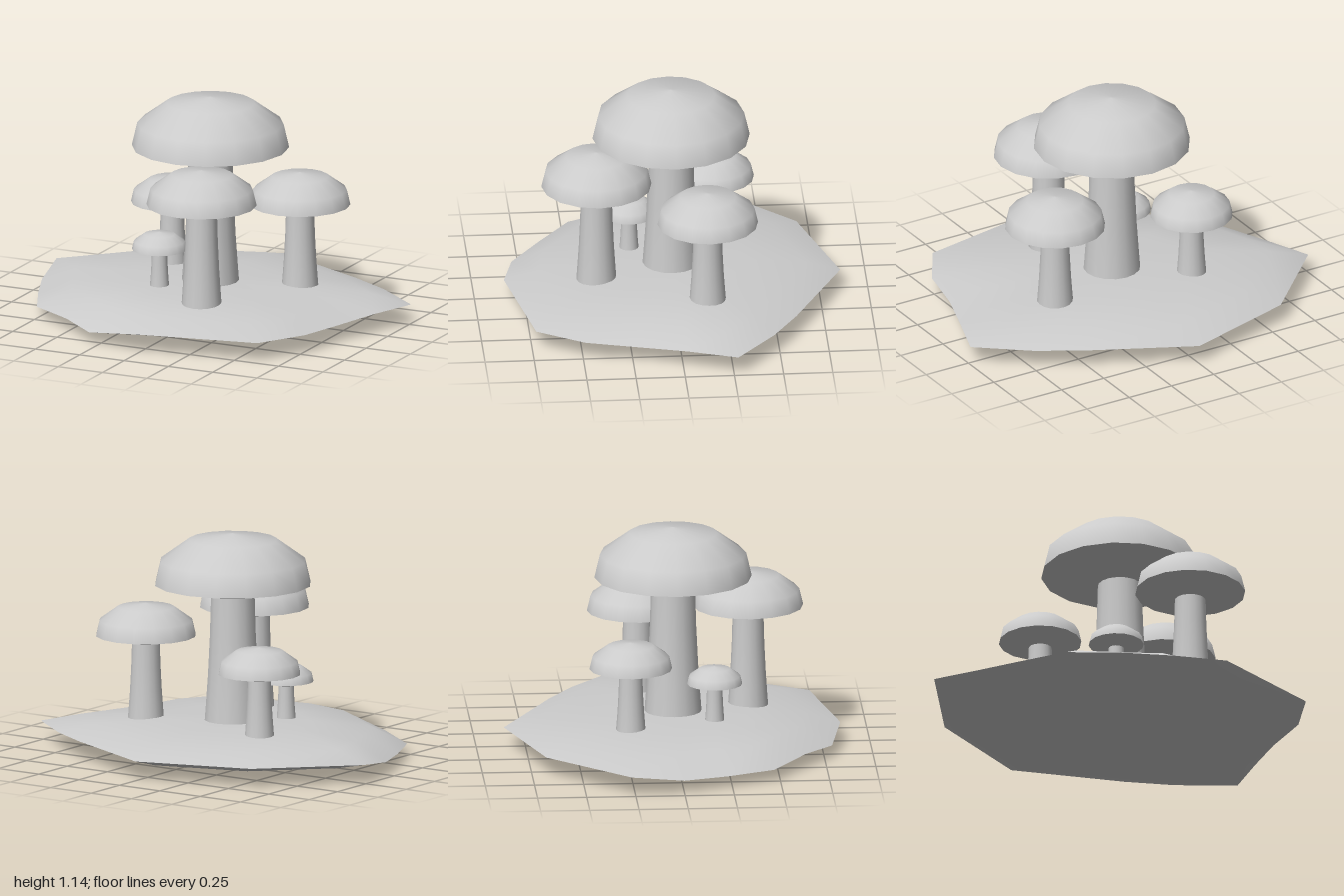
import * as THREE from 'three';
import { toCreasedNormals } from 'three/addons/utils/BufferGeometryUtils.js';

const clay = new THREE.MeshStandardMaterial({ color: 0xcccccc });
clay.name = 'light grey';

// Ground rim, counter-clockwise from above: [x, z, y]
const RIM = [
  [0, -0.86, 0.1], [-0.59, -0.68, 0.1], [-1, -0.27, 0.1], [-0.95, 0, 0.065],
  [-0.86, 0.23, 0.06], [-0.75, 0.47, 0.06], [-0.5, 0.64, 0.07], [-0.3, 0.79, 0.06],
  [0, 0.85, 0.1], [0.62, 0.73, 0.1], [0.77, 0.49, 0.1], [0.82, 0.23, 0.09],
  [0.91, -0.02, 0.1], [1, -0.27, 0.1], [0.75, -0.47, 0.1], [0.53, -0.6, 0.1],
];

function addMesh(parent, name, geometry) {
  const mesh = new THREE.Mesh(geometry, clay);
  mesh.name = name;
  parent.add(mesh);
  return mesh;
}

// One side of the ground: rings shrink from the rim to a centre point
function groundSide(rings, centreY, flip) {
  const n = RIM.length;
  const pos = RIM.flatMap(([x, z, y]) => [x, y, z]);
  for (const [s, y] of rings) for (const [x, z] of RIM) pos.push(x * s, y, z * s);
  pos.push(0, centreY, 0);
  const index = [];
  const tri = (a, b, c) => index.push(...(flip ? [a, c, b] : [a, b, c]));
  for (let r = 0; r <= rings.length; r++) {
    for (let i = 0; i < n; i++) {
      const a = r * n + i, b = r * n + (i + 1) % n;
      if (r === rings.length) tri(a, b, n * (rings.length + 1));
      else { tri(a, b, b + n); tri(a, b + n, a + n); }
    }
  }
  const g = new THREE.BufferGeometry();
  g.setAttribute('position', new THREE.Float32BufferAttribute(pos, 3));
  g.setIndex(index);
  return toCreasedNormals(g, 0.5);
}

const lathe = (points) =>
  new THREE.LatheGeometry(points.map(([r, y]) => new THREE.Vector2(r, y)), 16);

// Mushroom with cap radius r and cap rim at height rimY
function mushroom(name, x, z, r, rimY) {
  const g = new THREE.Group();
  g.name = name;
  g.position.set(x, 0, z);
  const foot = 0.14, top = rimY - 0.14 * r, h = top - foot;
  addMesh(g, 'stem', lathe([
    [0.37 * r, foot], [0.35 * r, foot + 0.15 * h], [0.32 * r, foot + 0.4 * h],
    [0.295 * r, foot + 0.7 * h], [0.28 * r, top],
  ]));
  addMesh(g, 'capUnderside', lathe([[0, rimY - 0.19 * r], [0.3 * r, rimY - 0.145 * r], [r, rimY]]));
  addMesh(g, 'capTop', lathe([
    [r, rimY], [0.93 * r, rimY + 0.3 * r], [0.56 * r, rimY + 0.57 * r], [0, rimY + 0.65 * r],
  ]));
  return g;
}

export function createModel() {
  const model = new THREE.Group();
  model.name = 'mushroomCluster';

  // Flat rocky ground
  const ground = new THREE.Group();
  ground.name = 'ground';
  addMesh(ground, 'groundTop', groundSide([[0.8, 0.148], [0.45, 0.175]], 0.18, false));
  addMesh(ground, 'groundBottom', groundSide([[0.8, 0.052], [0.45, 0.022]], 0, true));
  model.add(ground);

  // Mushrooms: name, x, z, cap radius, rim height
  [
    ['tallMushroom', 0, 0, 0.4, 0.88],
    ['frontMushroom', 0.14, 0.39, 0.28, 0.685],
    ['leftMushroom', 0.43, -0.155, 0.256, 0.59],
    ['rightMushroom', -0.33, -0.235, 0.21, 0.49],
    ['smallMushroom', -0.19, 0.2, 0.14, 0.365],
  ].forEach((m) => model.add(mushroom(...m)));

  return model;
}
